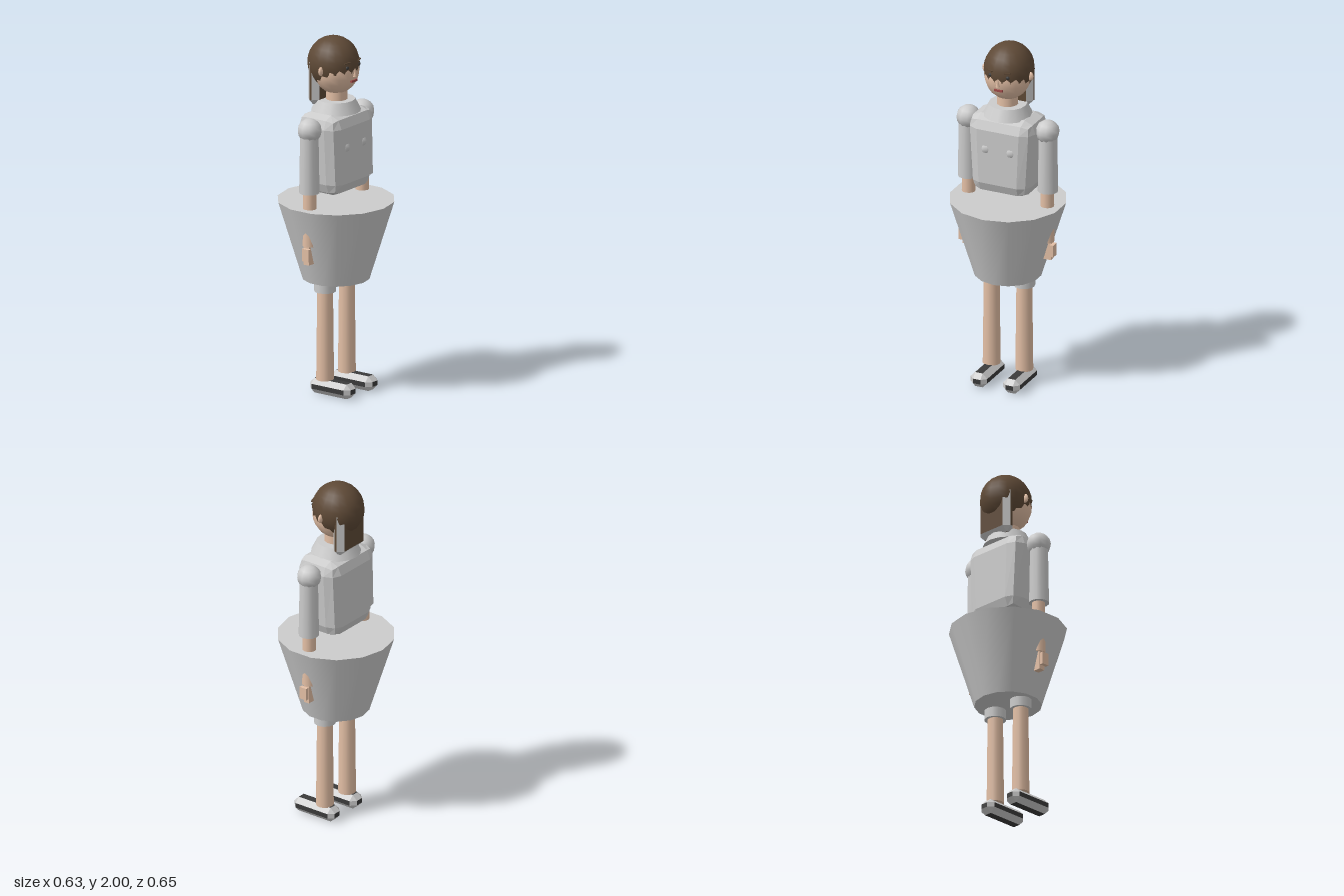
import * as THREE from 'three';
import { RoundedBoxGeometry } from 'three/addons/geometries/RoundedBoxGeometry.js';

const mat = (color, extra = {}) => new THREE.MeshStandardMaterial({ color, ...extra });

// Box with one flat chamfer; material group 0 is the six faces, group 1 the chamfers
function chamferBox(w, h, d, c) {
  const half = [w / 2, h / 2, d / 2];
  const point = (axis, s) => new THREE.Vector3(...half.map((v, i) => s[i] * (i === axis ? v : v - c)));
  const pos = [];
  const tri = (a, b, e) => {
    const n = b.clone().sub(a).cross(e.clone().sub(a));
    const out = a.clone().add(b).add(e);
    for (const p of n.dot(out) > 0 ? [a, b, e] : [a, e, b]) pos.push(p.x, p.y, p.z);
  };
  const quad = (a, b, e, f) => { tri(a, b, e); tri(a, e, f); };
  const signs = (i, si, j, sj, k, sk) => { const s = []; s[i] = si; s[j] = sj; s[k] = sk; return s; };
  for (let i = 0; i < 3; i++) {
    const j = (i + 1) % 3, k = (i + 2) % 3;
    for (const s of [-1, 1]) {
      quad(...[[-1, -1], [1, -1], [1, 1], [-1, 1]].map(([a, b]) => point(i, signs(i, s, j, a, k, b))));
    }
  }
  const faceCount = pos.length / 3;
  for (let i = 0; i < 3; i++) {
    const j = (i + 1) % 3, k = (i + 2) % 3;
    for (const a of [-1, 1]) for (const b of [-1, 1]) {
      const lo = signs(i, -1, j, a, k, b), hi = signs(i, 1, j, a, k, b);
      quad(point(j, lo), point(j, hi), point(k, hi), point(k, lo));
    }
  }
  for (const x of [-1, 1]) for (const y of [-1, 1]) for (const z of [-1, 1]) {
    tri(...[0, 1, 2].map((axis) => point(axis, [x, y, z])));
  }
  const geo = new THREE.BufferGeometry();
  geo.setAttribute('position', new THREE.Float32BufferAttribute(pos, 3));
  geo.addGroup(0, faceCount, 0);
  geo.addGroup(faceCount, pos.length / 3 - faceCount, 1);
  geo.computeVertexNormals();
  return geo;
}

export function createModel() {
  const model = new THREE.Group();
  model.name = 'figure';
  const grey = mat(0xcccccc), greyFlat = mat(0xcccccc, { flatShading: true });
  const skin = mat(0xe3bfa5), brown = mat(0x5e4936), dark = mat(0x3a3a3a), red = mat(0xa04a48);

  const add = (name, geo, material, x, y, z) => {
    const mesh = new THREE.Mesh(geo, material);
    mesh.name = name;
    mesh.position.set(x, y, z);
    model.add(mesh);
    return mesh;
  };
  const tube = (name, rTop, rBottom, y0, y1, sides, material, x = 0, z = 0) =>
    add(name, new THREE.CylinderGeometry(rTop, rBottom, y1 - y0, sides), material, x, (y0 + y1) / 2, z);
  const ball = (name, rx, ry, rz, material, x, y, z, w = 16, h = 12) => {
    const geo = new THREE.SphereGeometry(1, w, h);
    geo.scale(rx, ry, rz);
    return add(name, geo, material, x, y, z);
  };
  const box = (name, w, h, d, material, x, y, z) =>
    add(name, new THREE.BoxGeometry(w, h, d), material, x, y, z);

  // Skirt, wide at the waist
  tube('skirt', 0.323, 0.185, 0.635, 1.08, 14, grey);

  // Torso, narrowing to the waist
  const torso = new RoundedBoxGeometry(0.4, 0.455, 0.27, 1, 0.07);
  const p = torso.attributes.position;
  for (let i = 0; i < p.count; i++) {
    p.setX(i, p.getX(i) * (0.925 + 0.33 * p.getY(i)));
  }
  torso.computeVertexNormals();
  add('torso', torso, greyFlat, 0, 1.365, 0);

  // Collar and neck
  tube('collar', 0.105, 0.137, 1.585, 1.65, 16, grey);
  tube('neck', 0.058, 0.06, 1.58, 1.76, 14, skin, 0, 0.005);

  // Head: the hair ball sits higher and further back than the face
  ball('face', 0.13, 0.142, 0.13, skin, 0, 1.822, 0);
  ball('hair', 0.138, 0.15, 0.147, brown, 0, 1.85, -0.016, 18, 14);
  add('backHair', chamferBox(0.23, 0.27, 0.075, 0.03), [brown, grey], 0, 1.755, -0.087);
  const nose = add('nose', new THREE.ConeGeometry(0.013, 0.05, 6), skin, 0, 1.82, 0.13);
  nose.rotation.x = 0.1;
  box('mouth', 0.05, 0.012, 0.012, red, 0, 1.77, 0.121);

  for (const s of [-1, 1]) {
    const side = s > 0 ? 'left' : 'right';

    // Face details
    ball(side + 'Ear', 0.02, 0.026, 0.012, skin, s * 0.135, 1.832, 0, 8, 6);
    ball(side + 'Eye', 0.012, 0.01, 0.008, dark, s * 0.052, 1.852, 0.116, 8, 6);
    box(side + 'Eyebrow', 0.035, 0.008, 0.012, brown, s * 0.052, 1.878, 0.116).rotation.y = s * 0.35;

    // Chest
    ball(side + 'Breast', 0.043, 0.043, 0.043, grey, s * 0.075, 1.41, 0.1, 10, 8);

    // Arm
    ball(side + 'Shoulder', 0.067, 0.066, 0.068, grey, s * 0.237, 1.522, 0, 10, 8);
    tube(side + 'Sleeve', 0.05, 0.056, 1.17, 1.52, 12, grey, s * 0.24);
    tube(side + 'Forearm', 0.037, 0.04, 0.87, 1.18, 12, skin, s * 0.236);
    box(side + 'Hand', 0.06, 0.11, 0.035, skin, s * 0.235, 0.82, -0.002);
    box(side + 'Fingers', 0.022, 0.07, 0.045, skin, s * 0.274, 0.825, 0.006);

    // Leg and shoe
    tube(side + 'Leg', 0.043, 0.049, 0.08, 0.62, 12, skin, s * 0.098);
    tube(side + 'Cuff', 0.06, 0.06, 0.58, 0.72, 12, grey, s * 0.098);
    add(side + 'Shoe', chamferBox(0.1, 0.083, 0.275, 0.028), [dark, grey], s * 0.098, 0.0415, 0.053);
  }
  return model;
}
